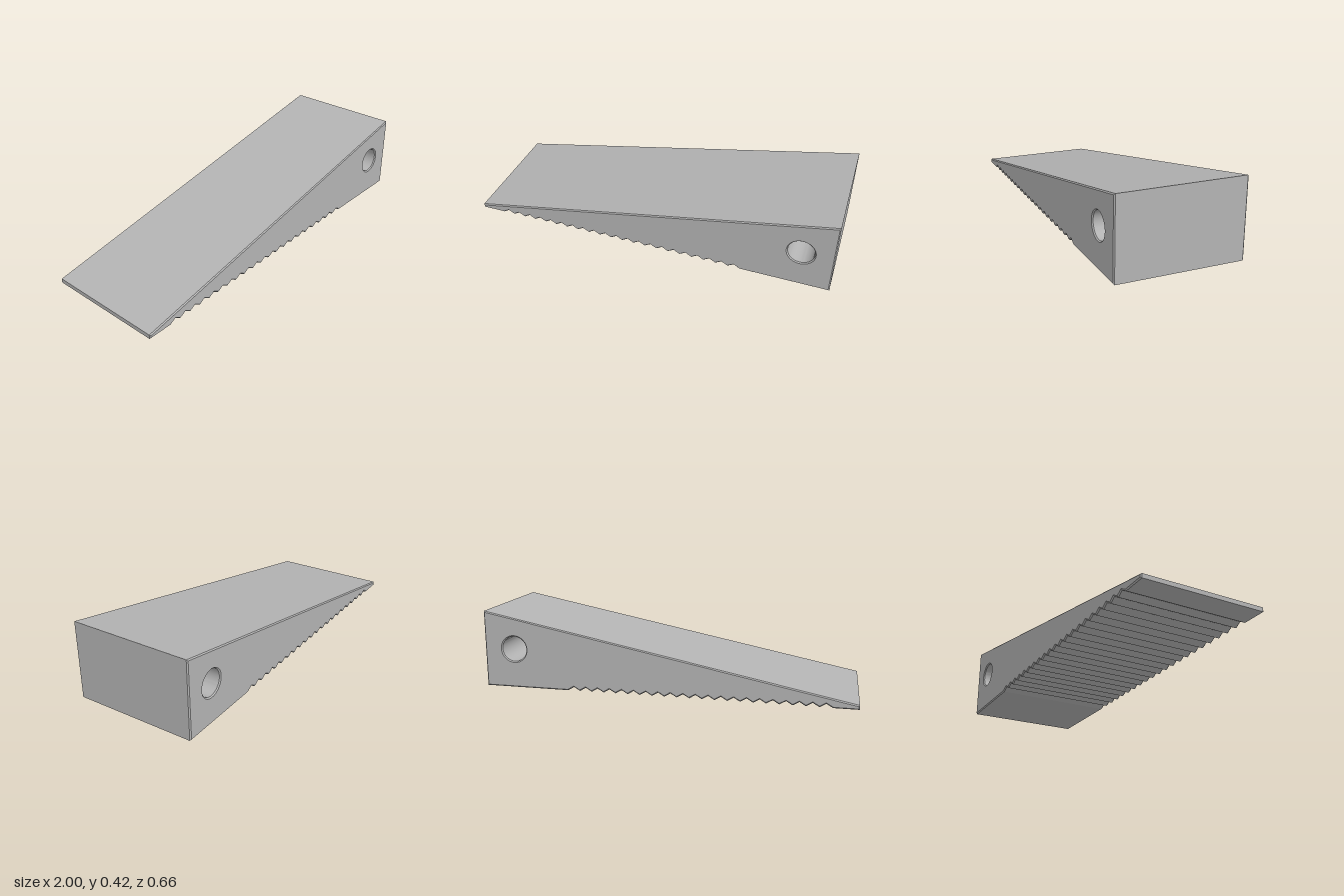
import * as THREE from 'three';
import { toCreasedNormals } from 'three/addons/utils/BufferGeometryUtils.js';

const WIDTH = 0.664;    // size along z
const CHAMFER = 0.006;  // small edge break on both sides
const TEETH = 21;       // grip grooves on the underside
const PITCH = 1.4 / TEETH;
const GROOVE = 0.02;

export function createModel() {
  const model = new THREE.Group();
  model.name = 'doorWedge';
  const grey = new THREE.MeshStandardMaterial({ color: 0xb3b3b3 });
  grey.name = 'grey';

  // side profile: flat toe, sawtooth sole, flat heel, sloped top
  const profile = new THREE.Shape();
  profile.moveTo(-1, 0);
  for (let i = 0; i < TEETH; i++) {
    const x = -0.87 + i * PITCH;
    profile.lineTo(x, 0);
    profile.lineTo(x + PITCH / 2, GROOVE);
  }
  profile.lineTo(0.53, 0);
  profile.lineTo(1, 0);
  profile.lineTo(1, 0.417);
  profile.lineTo(-1, 0.023);
  profile.closePath();

  // hanging hole through the thick end
  const hole = new THREE.Path();
  hole.absarc(0.832, 0.214, 0.069, 0, Math.PI * 2, true);
  profile.holes.push(hole);

  const geometry = new THREE.ExtrudeGeometry(profile, {
    depth: WIDTH - 2 * CHAMFER,
    curveSegments: 24,
    bevelEnabled: true,
    bevelSegments: 1,
    bevelSize: CHAMFER,
    bevelOffset: -CHAMFER,
    bevelThickness: CHAMFER,
  });
  geometry.translate(0, 0, -WIDTH / 2 + CHAMFER);

  const wedge = new THREE.Mesh(toCreasedNormals(geometry, 0.4), grey);
  wedge.name = 'wedgeBody';
  model.add(wedge);
  return model;
}
